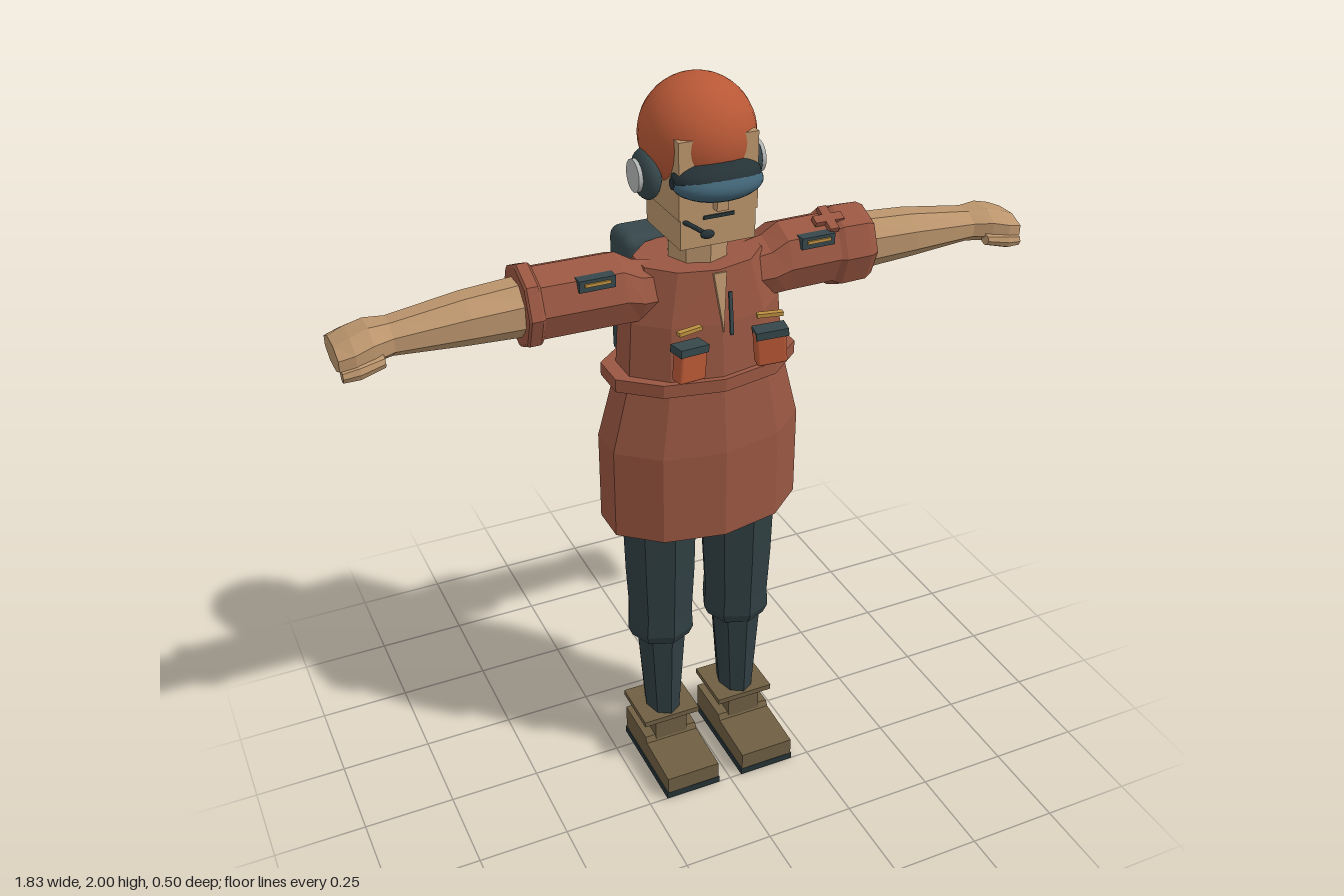
import * as THREE from 'three';
import { RoundedBoxGeometry } from 'three/addons/geometries/RoundedBoxGeometry.js';

const mat = (name, color, flatShading = false) => {
  const m = new THREE.MeshStandardMaterial({ color, flatShading });
  m.name = name;
  return m;
};

export function createModel() {
  const root = new THREE.Group();
  root.name = 'figure';
  const jacket = mat('jacket rust', 0x985641);
  const skin = mat('skin tan', 0xba946c);
  const helmetRed = mat('helmet orange', 0xb85836);
  const trousers = mat('trouser slate', 0x303f42);
  const dark = mat('dark slate', 0x36474b);
  const bootBrown = mat('boot brown', 0x6e5e42);
  const glass = mat('visor blue', 0x406274);
  const grey = mat('pale grey', 0xb2b6b4);
  const gold = mat('gold', 0xbd9040);
  const black = mat('rubber', 0x253236);

  const add = (name, geo, m, p = [0, 0, 0], r = [0, 0, 0]) => {
    const mesh = new THREE.Mesh(geo, m);
    mesh.name = name;
    mesh.position.set(...p);
    mesh.rotation.set(...r);
    root.add(mesh);
    return mesh;
  };
  const box = (name, size, m, p, r) => add(name, new THREE.BoxGeometry(...size), m, p, r);

  // Faceted loft along y; each ring is [y, rx, rz, cx, cz]
  const loft = (rings, n = 8, turn = 0) => {
    const pos = [];
    const pt = ([y, rx, rz, cx = 0, cz = 0], i) => {
      const a = turn + (i / n) * Math.PI * 2;
      return [cx + rx * Math.sin(a), y, cz + rz * Math.cos(a)];
    };
    const mid = ([y, , , cx = 0, cz = 0]) => [cx, y, cz];
    const first = rings[0], last = rings[rings.length - 1];
    for (let i = 0; i < n; i++) {
      for (let j = 0; j < rings.length - 1; j++) {
        const a = pt(rings[j], i), b = pt(rings[j], i + 1);
        const c = pt(rings[j + 1], i + 1), d = pt(rings[j + 1], i);
        pos.push(...a, ...b, ...c, ...a, ...c, ...d);
      }
      pos.push(...mid(first), ...pt(first, i + 1), ...pt(first, i));
      pos.push(...mid(last), ...pt(last, i), ...pt(last, i + 1));
    }
    const g = new THREE.BufferGeometry();
    g.setAttribute('position', new THREE.Float32BufferAttribute(pos, 3));
    g.computeVertexNormals();
    return g;
  };
  // Same loft laid along x; each ring is [x, ry, rz, cy, cz]
  const armLoft = (s, rings, turn) =>
    loft(rings.map(([x, ry, rz, cy, cz]) => [x, ry, rz, -s * cy, cz]), 8, turn)
      .rotateZ(-s * Math.PI / 2);

  // Coat body
  add('skirt', loft([[0.82, 0.275, 0.17, 0, 0.03], [1.07, 0.275, 0.17, 0, 0.03],
    [1.26, 0.225, 0.145, 0, 0.035]], 10), jacket);
  add('belt', loft([[1.245, 0.262, 0.162, 0, 0.03], [1.28, 0.262, 0.162, 0, 0.03]], 10), jacket);
  add('torso', loft([[1.25, 0.225, 0.145, 0, 0.035], [1.42, 0.212, 0.138, 0, 0.03],
    [1.555, 0.165, 0.125, 0, 0.02]], 10), jacket);

  // Open collar with zip
  const vee = new THREE.Shape([[-0.017, 0.075], [0, -0.075], [0.017, 0.075]]
    .map((p) => new THREE.Vector2(...p)));
  add('collarOpening', new THREE.ExtrudeGeometry(vee, { depth: 0.008, bevelEnabled: false }),
    skin, [0, 1.475, 0.157], [-0.16, 0, 0]);
  box('zip', [0.009, 0.11, 0.006], dark, [0.005, 1.465, 0.203], [-0.12, 0, 0]);

  // Head
  add('neck', loft([[1.5, 0.078, 0.078, 0, 0.02], [1.64, 0.078, 0.078, 0, 0.02]]), skin);
  box('jaw', [0.196, 0.09, 0.2], skin, [0, 1.665, 0.038]);
  box('face', [0.204, 0.19, 0.2], skin, [0, 1.79, 0.04]);
  add('helmet', new THREE.SphereGeometry(0.142, 32, 24), helmetRed, [0, 1.858, 0.018]);
  const ball = new THREE.SphereGeometry(1, 28, 16);
  add('visorRim', ball, black, [0, 1.79, 0.125]).scale.set(0.112, 0.043, 0.077);
  add('visor', ball, glass, [0, 1.777, 0.132]).scale.set(0.113, 0.042, 0.083);
  box('nose', [0.03, 0.03, 0.03], skin, [0, 1.728, 0.148]);
  box('mouth', [0.08, 0.009, 0.006], black, [0, 1.694, 0.14]);
  const boom = new THREE.CatmullRomCurve3([[-0.09, 1.69, 0.13], [-0.075, 1.685, 0.155],
    [-0.05, 1.67, 0.178]].map((p) => new THREE.Vector3(...p)));
  add('microphoneBoom', new THREE.TubeGeometry(boom, 10, 0.006, 8), black);
  add('microphone', ball, black, [-0.047, 1.669, 0.178]).scale.set(0.018, 0.011, 0.011);

  // Backpack
  add('backpack', new RoundedBoxGeometry(0.295, 0.365, 0.125, 3, 0.03), dark, [0, 1.385, -0.148]);
  add('backpackPanel', new RoundedBoxGeometry(0.245, 0.275, 0.04, 3, 0.012), helmetRed,
    [0, 1.405, -0.215]);

  // Boot profile in z and y
  const bootShape = new THREE.Shape([[-0.055, 0.018], [0.25, 0.018], [0.25, 0.07], [0.1, 0.08],
    [0.09, 0.095], [-0.055, 0.095]].map((p) => new THREE.Vector2(...p)));
  const boot = new THREE.ExtrudeGeometry(bootShape, { depth: 0.156, bevelEnabled: false })
    .rotateY(-Math.PI / 2).translate(0.078, 0, 0);

  for (const s of [-1, 1]) {
    // Headphones
    const side = [0, 0, Math.PI / 2];
    add('earCup', ball, dark, [s * 0.132, 1.775, 0.018]).scale.set(0.032, 0.062, 0.06);
    add('earCap', new THREE.CylinderGeometry(0.04, 0.04, 0.012, 24), grey,
      [s * 0.16, 1.775, 0.018], side);
    add('visorPivot', new THREE.CylinderGeometry(0.014, 0.014, 0.02, 12), black,
      [s * 0.103, 1.783, 0.122], side);

    // Sleeve, cuff and bare arm
    add('sleeve', armLoft(s, [[0.1, 0.07, 0.08, 1.48, 0.02], [0.175, 0.08, 0.09, 1.485, 0.02],
      [0.22, 0.095, 0.092, 1.498, 0.02], [0.43, 0.095, 0.092, 1.5, 0.02]]), jacket);
    const cuff = s > 0
      ? [[0.35, 0.095, 0.09, 1.498, 0.018], [0.375, 0.11, 0.1, 1.498, 0.018],
        [0.445, 0.108, 0.1, 1.498, 0.018], [0.465, 0.095, 0.092, 1.5, 0.018]]
      : [[0.43, 0.1, 0.095, 1.498, 0.018], [0.437, 0.108, 0.1, 1.498, 0.018],
        [0.465, 0.108, 0.1, 1.498, 0.018], [0.47, 0.1, 0.095, 1.498, 0.018]];
    add('cuff', armLoft(s, cuff), jacket);
    add('arm', armLoft(s, [[0.4, 0.078, 0.072, 1.497, 0.018], [0.6, 0.065, 0.07, 1.495, 0.018],
      [0.78, 0.045, 0.06, 1.488, 0.018], [0.83, 0.049, 0.078, 1.487, 0.02],
      [0.875, 0.046, 0.086, 1.478, 0.022], [0.914, 0.034, 0.078, 1.473, 0.022]],
    Math.PI / 8), skin);
    add('thumb', armLoft(s, [[0.81, 0.016, 0.018, 1.462, 0.085], [0.87, 0.02, 0.02, 1.452, 0.094],
      [0.91, 0.016, 0.017, 1.446, 0.09]]), skin);

    // Sleeve badge
    box('sleeveBadge', [0.092, 0.03, 0.03], dark, [s * 0.295, 1.557, 0.088]);
    box('sleeveBadgeBar', [0.066, 0.008, 0.006], gold, [s * 0.295, 1.56, 0.105]);

    // Chest pouch
    const turn = [0, s * -0.2, s * 0.08];
    add('pouch', new RoundedBoxGeometry(0.078, 0.09, 0.04, 2, 0.008), helmetRed,
      [s * 0.108, 1.36, 0.212], turn);
    box('pouchFlap', [0.082, 0.02, 0.046], dark, [s * 0.108, 1.4, 0.212], turn);
    box('pouchBar', [0.066, 0.01, 0.015], gold, [s * 0.107, 1.444, 0.208], [0, s * -0.2, 0]);
    box('backpackStrip', [0.012, 0.24, 0.014], gold, [s * 0.07, 1.405, -0.24]);

    // Leg
    const x = s * 0.116;
    add('thigh', loft([[0.43, 0.085, 0.085, x, 0.028], [0.46, 0.097, 0.098, x, 0.028],
      [0.52, 0.092, 0.098, x, 0.028], [0.66, 0.1, 0.105, x, 0.028],
      [0.9, 0.107, 0.11, x, 0.028]]), trousers);
    add('shin', loft([[0.14, 0.046, 0.066, x, 0.03], [0.44, 0.07, 0.082, x, 0.028]]), trousers);

    // Boot
    add('boot', boot, bootBrown, [x, 0, 0]);
    box('bootAnkle', [0.096, 0.07, 0.15], bootBrown, [x, 0.115, 0.022]);
    box('bootCollar', [0.168, 0.016, 0.156], bootBrown, [x, 0.155, 0.026]);
    box('sole', [0.162, 0.02, 0.308], black, [x, 0.01, 0.097]);
  }

  // Cross patch on the left sleeve
  box('patchBarAlong', [0.08, 0.014, 0.025], jacket, [0.345, 1.59, 0.055], [0.42, 0, 0]);
  box('patchBarAcross', [0.025, 0.014, 0.08], jacket, [0.345, 1.59, 0.055], [0.42, 0, 0]);

  return root;
}
